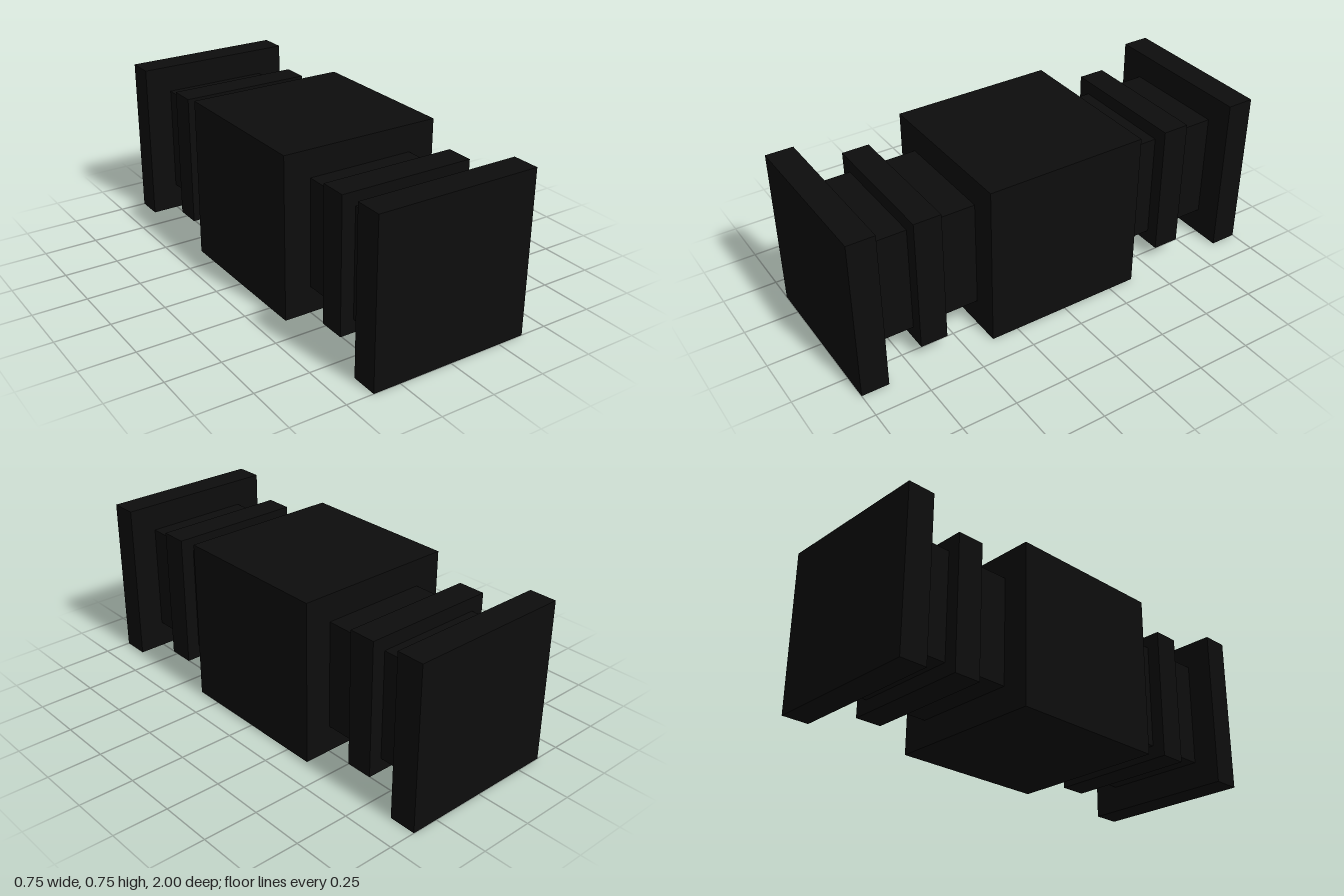
import * as THREE from 'three';

export function createModel() {
  const model = new THREE.Group();
  const black = new THREE.MeshStandardMaterial({ color: 0x0d0d0d });
  black.name = 'black';

  // Square block centred on the long axis, spanning z0 to z1
  function block(name, size, z0, z1) {
    const mesh = new THREE.Mesh(new THREE.BoxGeometry(size, size, z1 - z0), black);
    mesh.name = name;
    mesh.position.set(0, 0.375, (z0 + z1) / 2);
    return mesh;
  }

  model.add(block('centreBlock', 0.75, -0.375, 0.375));

  // Matching arm at each end: neck, raised collar and end plate
  for (const [side, turn] of [['front', 0], ['back', Math.PI]]) {
    const arm = new THREE.Group();
    arm.name = side + 'Arm';
    arm.rotation.y = turn;
    arm.add(
      block('innerNeck', 0.5, 0.375, 0.5625),
      block('collar', 0.625, 0.5625, 0.6875),
      block('outerNeck', 0.5, 0.6875, 0.875),
      block('endPlate', 0.75, 0.875, 1),
    );
    model.add(arm);
  }
  return model;
}
